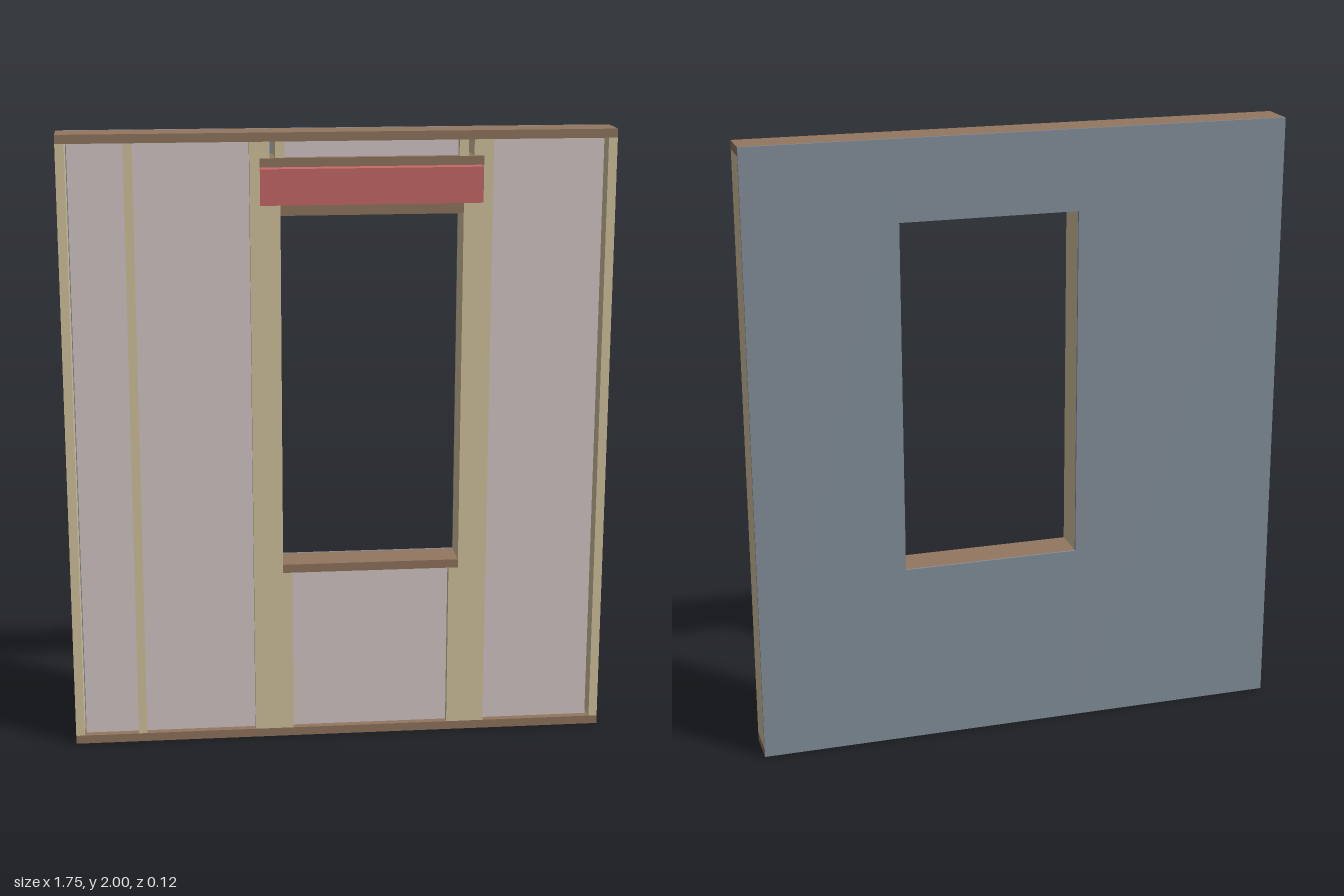
import * as THREE from 'three';

const FRONT = 0.062, BACK = -0.055, SKIN = -0.062; // depth planes of frame and sheathing
const HALF = 0.873, TOP = 2, T = 0.028;            // half width, height, lumber thickness
const OPEN = { l: -0.185, r: 0.39, b: 0.6, t: 1.742 };

const mat = (color) => new THREE.MeshStandardMaterial({ color });

export function createModel() {
  const root = new THREE.Group();
  root.name = 'framedWallPanel';
  const stud = mat(0xd6c7a0), plate = mat(0x937760), red = mat(0xca6a6a);
  const foam = mat(0xd9cbcc), skin = mat(0x828e9a);

  // Box given by its limits on each axis
  function box(name, material, x0, x1, y0, y1, z0 = BACK, z1 = FRONT) {
    const mesh = new THREE.Mesh(new THREE.BoxGeometry(x1 - x0, y1 - y0, z1 - z0), material);
    mesh.position.set((x0 + x1) / 2, (y0 + y1) / 2, (z0 + z1) / 2);
    mesh.name = name;
    root.add(mesh);
  }

  // Top and bottom plates
  box('bottomPlate', plate, -HALF, HALF, 0, T);
  box('topPlate', plate, -HALF, HALF, TOP - T, TOP);

  // Full-height studs: ends, one common stud, and kings beside the opening
  const kings = [[-0.28, -0.248], [0.452, 0.482]];
  for (const [x0, x1] of [[-HALF, -HALF + T], [-0.667, -0.639], ...kings, [HALF - T, HALF]])
    box('fullStud', stud, x0, x1, T, TOP - T);

  // Doubled jack studs carrying the header
  const headBottom = 1.774;
  for (const [x0, x1] of [[-0.248, -0.217], [-0.217, OPEN.l], [OPEN.r, 0.421], [0.421, 0.452]])
    box('jackStud', stud, x0, x1, T, headBottom);

  // Header with plates above and below
  box('header', red, -0.248, 0.452, headBottom, 1.887);
  box('headerTopPlate', plate, -0.248, 0.452, 1.893, 1.921);
  box('headerBottomPlate', plate, OPEN.l, OPEN.r, OPEN.t, headBottom);

  // Short studs above the header
  for (const [x0, x1] of [[-0.248, -0.217], [-0.2, -0.171], [0.374, 0.403], [0.421, 0.452]])
    box('upperCripple', stud, x0, x1, 1.921, TOP - T);

  // Window sill and the short studs below it
  const sillBottom = OPEN.b - T;
  box('sill', plate, OPEN.l, OPEN.r, sillBottom, OPEN.b);
  box('lowerCripple', stud, OPEN.l, OPEN.l + 0.031, T, sillBottom);
  box('lowerCripple', stud, OPEN.r - 0.031, OPEN.r, T, sillBottom);

  // Insulation set back from the front edge of the studs
  for (const [x0, x1, y0, y1] of [
    [-0.839, -0.667, T, TOP - T],
    [-0.639, -0.28, T, TOP - T],
    [0.482, 0.836, T, TOP - T],
    [OPEN.l + 0.031, OPEN.r - 0.031, T, sillBottom],
    [-0.171, 0.374, 1.921, TOP - T],
  ]) box('insulation', foam, x0, x1, y0, y1, BACK, 0.038);

  // Sheathing boards on the back, around the opening
  for (const [x0, x1, y0, y1] of [
    [-HALF, OPEN.l, 0, TOP],
    [OPEN.r, HALF, 0, TOP],
    [OPEN.l, OPEN.r, 0, OPEN.b],
    [OPEN.l, OPEN.r, OPEN.t, TOP],
  ]) box('sheathing', skin, x0, x1, y0, y1, SKIN, BACK);

  return root;
}
